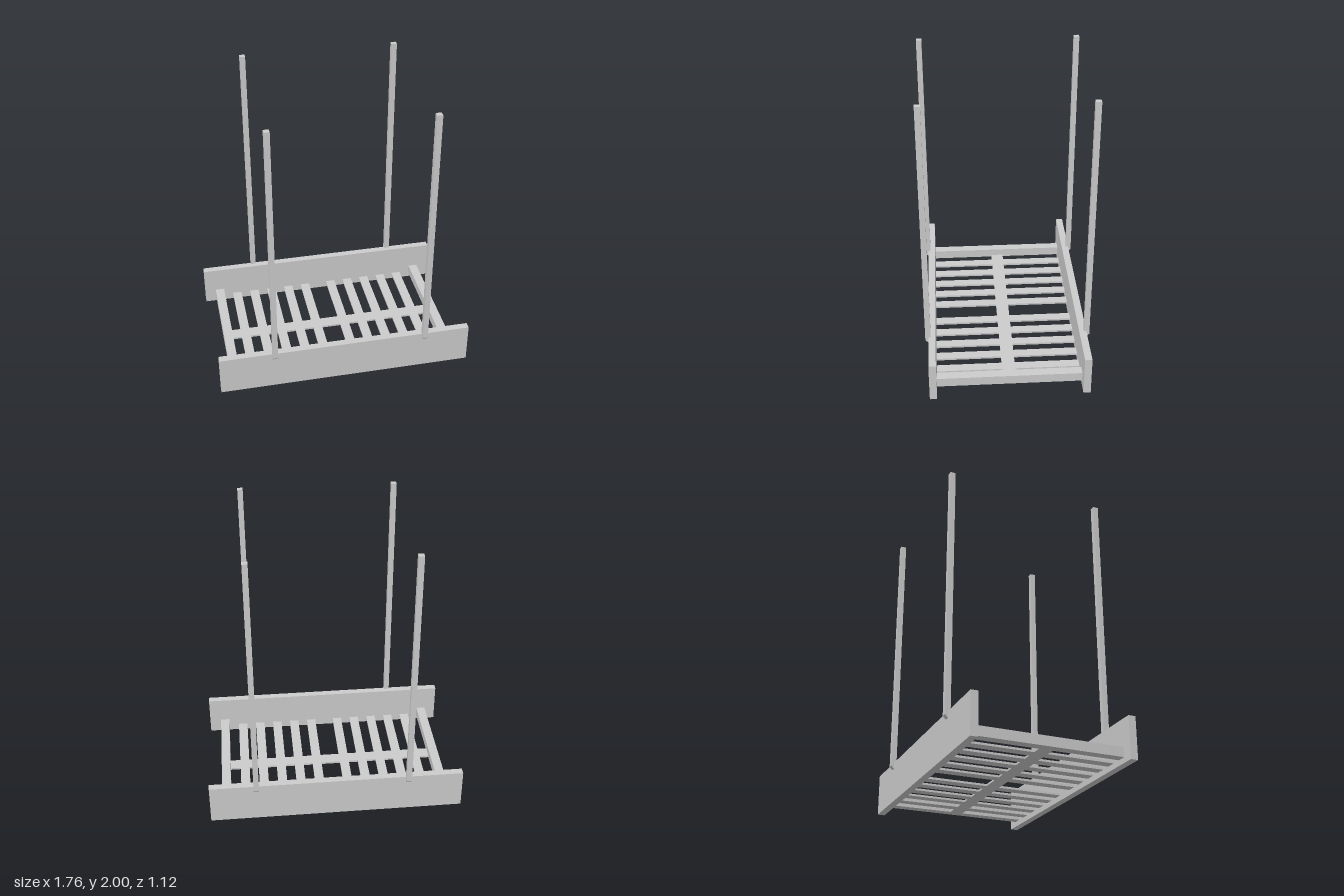
import * as THREE from 'three';

export function createModel() {
  const model = new THREE.Group();
  const material = new THREE.MeshStandardMaterial({ color: 0xcccccc, flatShading: true });

  const add = (name, geometry, x, y, z) => {
    const mesh = new THREE.Mesh(geometry, material);
    mesh.name = name;
    mesh.position.set(x, y, z);
    model.add(mesh);
    return mesh;
  };
  // Box given by its centre in x and z and its bottom height
  const box = (name, w, h, d, x, bottom, z) =>
    add(name, new THREE.BoxGeometry(w, h, d), x, bottom + h / 2, z);

  // Long side boards
  const boardInner = 0.49;
  for (const side of [1, -1]) {
    box(side > 0 ? 'frontBoard' : 'backBoard', 1.76, 0.28, 0.049, 0, 0, side * (boardInner + 0.0245));
  }

  // End beams between the boards
  for (const side of [1, -1]) {
    box(side > 0 ? 'leftEndBeam' : 'rightEndBeam', 0.064, 0.065, 2 * boardInner, side * 0.768 - 0.002, 0.036, 0);
  }

  // Thin slats in two groups of five, with a wider gap in the middle
  const slatBottom = 0.036, slatThickness = 0.014;
  for (const start of [-0.638, 0.097]) {
    for (let i = 0; i < 5; i++) {
      box('slat', 0.066, slatThickness, 2 * boardInner, start + i * 0.133, slatBottom, 0);
    }
  }
  // Lengthwise strip, flush with the slats
  box('centreStrip', 1.474, slatThickness, 0.09, -0.002, slatBottom, -0.002);

  // Square posts, half set into the boards, with a bevelled outer foot
  const width = 0.037;
  const profile = new THREE.Shape([
    [0.523, 0.236], [0.541, 0.236], [0.56, 0.257], [0.56, 2], [0.523, 2],
  ].map(([z, y]) => new THREE.Vector2(z, y)));
  const postGeometry = new THREE.ExtrudeGeometry(profile, { depth: width, bevelEnabled: false });
  postGeometry.translate(0, 0, -width / 2);
  for (const x of [-0.498, 0.558]) {
    for (const side of [1, -1]) {
      add('post', postGeometry, x, 0, 0).rotation.y = -side * Math.PI / 2;
    }
  }
  return model;
}
